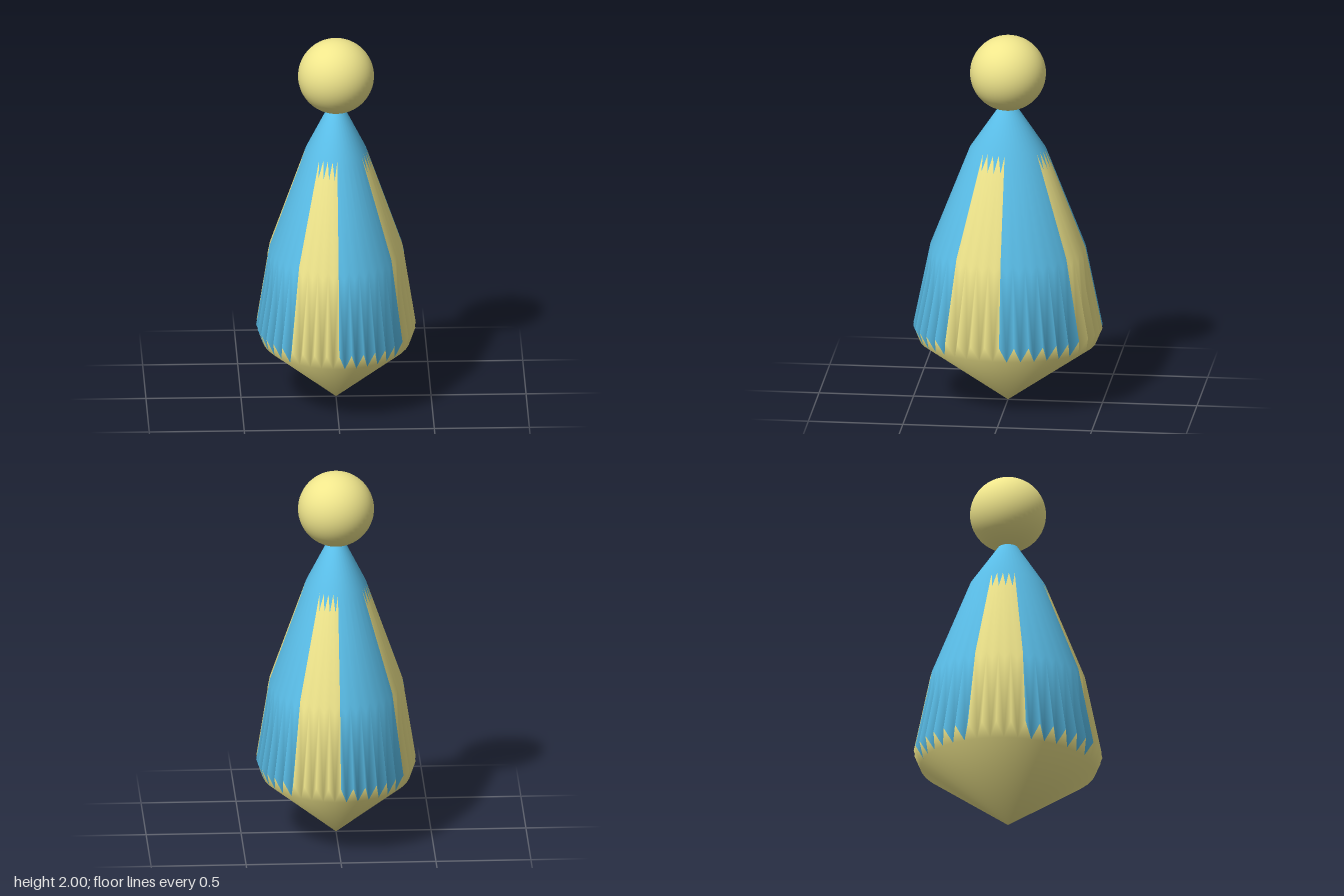
import * as THREE from 'three';

const FOLDS = 40, COLS = FOLDS * 2;

// Profile rows [x radius, z radius, y], for the outer ridges and the inner valleys of the pleats
const RIDGE = [[0.42, 0.5, 0.41], [0.35, 0.41, 0.85], [0.16, 0.2, 1.39], [0.05, 0.05, 1.61]];
const VALLEY = [[0.39, 0.465, 0.325], [0.36, 0.42, 0.8], [0.19, 0.235, 1.3], [0.05, 0.05, 1.61]];

// Panels alternate four and six folds wide, starting at +x and turning towards +z
function panelOf(col) {
  const fold = Math.floor(col / 2);
  return Math.floor(fold / 10) * 2 + (fold % 10 < 4 ? 0 : 1);
}

export function createModel() {
  const group = new THREE.Group();
  group.name = 'pleatedFigure';
  const yellow = new THREE.MeshStandardMaterial({ color: 0xf0e68c });
  const blue = new THREE.MeshStandardMaterial({ color: 0x5bc0eb });

  // Vertex rows of the pleated body
  const positions = [];
  for (let row = 0; row < 4; row++) {
    for (let k = 0; k < COLS; k++) {
      const a = (k / COLS) * Math.PI * 2;
      const [rx, rz, y] = (k % 2 ? VALLEY : RIDGE)[row];
      positions.push(rx * Math.cos(a), y, rz * Math.sin(a));
    }
  }
  const bottom = COLS * 4, tip = bottom + 1;
  positions.push(0, 0, 0, 0, 1.635, 0);
  const v = (row, k) => row * COLS + ((k + COLS) % COLS);

  // Faces, sorted by part
  const faces = { base: [], yellowPanels: [], bluePanels: [], collar: [] };
  for (let k = 0; k < COLS; k++) {
    const panel = panelOf(k) % 2 ? faces.bluePanels : faces.yellowPanels;
    for (let row = 0; row < 2; row++) {
      const a = v(row, k), b = v(row, k + 1), c = v(row + 1, k), d = v(row + 1, k + 1);
      if (k % 2) panel.push(a, c, d, a, d, b);
      else panel.push(a, c, b, b, c, d);
    }
    if (k % 2) {
      // base cone and the points that rise to each ridge
      faces.base.push(bottom, v(0, k), v(0, k + 2));
      faces.base.push(v(0, k), v(0, k + 1), v(0, k + 2));
    } else {
      // collar points that drop into each valley, then the neck
      faces.collar.push(v(2, k), v(2, k + 2), v(2, k + 1));
      faces.collar.push(v(2, k), v(3, k), v(3, k + 2), v(2, k), v(3, k + 2), v(2, k + 2));
      faces.collar.push(v(3, k), tip, v(3, k + 2));
    }
  }

  // Shared smooth normals across the whole body
  const body = new THREE.BufferGeometry();
  body.setAttribute('position', new THREE.Float32BufferAttribute(positions, 3));
  body.setIndex(Object.values(faces).flat());
  body.computeVertexNormals();

  const materials = { base: yellow, yellowPanels: yellow, bluePanels: blue, collar: blue };
  for (const [name, index] of Object.entries(faces)) {
    const geometry = new THREE.BufferGeometry();
    geometry.setAttribute('position', body.attributes.position);
    geometry.setAttribute('normal', body.attributes.normal);
    geometry.setIndex(index);
    const mesh = new THREE.Mesh(geometry, materials[name]);
    mesh.name = name;
    group.add(mesh);
  }

  // Round head
  const head = new THREE.Mesh(new THREE.SphereGeometry(0.2, 48, 32), yellow);
  head.position.y = 1.8;
  head.name = 'head';
  group.add(head);
  return group;
}
